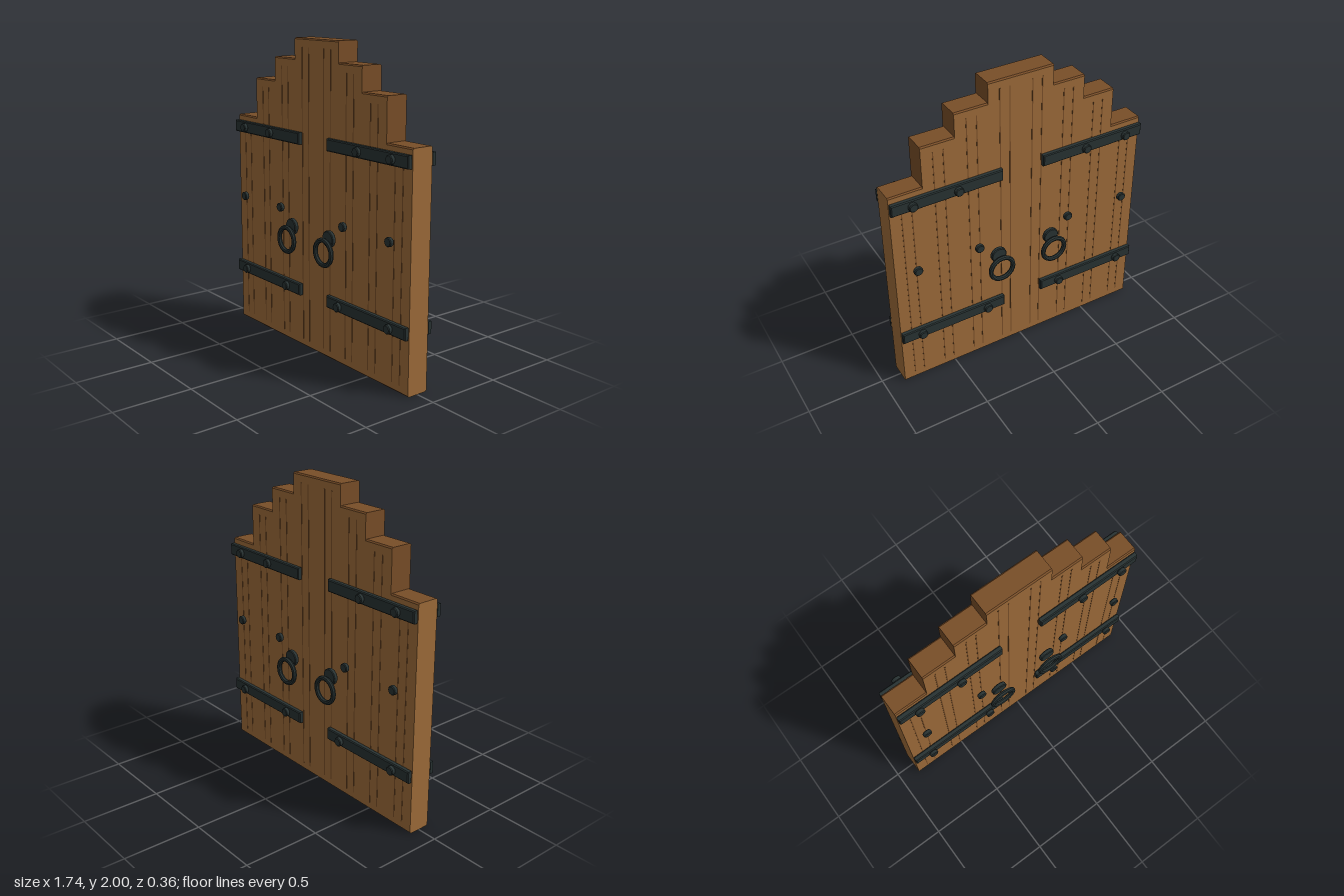
import * as THREE from 'three';

const wood = new THREE.MeshStandardMaterial({ color: 0x9d6b39 });
wood.name = 'wood';
const darkWood = new THREE.MeshStandardMaterial({ color: 0x794e28 });
darkWood.name = 'dark wood';
const iron = new THREE.MeshStandardMaterial({ color: 0x283232 });
iron.name = 'dark iron';

const PLANK_W = 0.217, HALF_D = 0.073;
const PLANK_HEIGHTS = [2, 1.872, 1.72, 1.455]; // from the middle outwards

function flat(geometry) {
  const g = geometry.index ? geometry.toNonIndexed() : geometry;
  g.computeVertexNormals();
  return g;
}

function add(parent, name, geometry, material, x = 0, y = 0, z = 0) {
  const mesh = new THREE.Mesh(geometry, material);
  mesh.name = name;
  mesh.position.set(x, y, z);
  parent.add(mesh);
  return mesh;
}

// Upright board with chamfered ends; groups: 0 sides, 1 ends and chamfers, 2 faces
function plankGeometry(height) {
  const box = new THREE.BoxGeometry(PLANK_W, height, HALF_D * 2, 1, 3, 1);
  const p = box.attributes.position;
  const chamfer = 0.008;
  for (let i = 0; i < p.count; i++) {
    const y = p.getY(i);
    if (Math.abs(y) > height / 2 - 0.001) p.setZ(i, p.getZ(i) * 0.88);
    else p.setY(i, Math.sign(y) * (height / 2 - chamfer));
  }
  const g = flat(box);
  g.clearGroups();
  g.addGroup(0, 36, 0);
  g.addGroup(36, 18, 1);
  g.addGroup(54, 6, 2);
  g.addGroup(60, 12, 1);
  g.addGroup(72, 6, 2);
  g.addGroup(78, 6, 1);
  return g;
}

// Flat bar with chamfered edges, lying from z = 0 to z = depth
function barGeometry(w, h, depth) {
  const b = 0.006, x = w / 2 - b, y = h / 2 - b;
  const shape = new THREE.Shape([
    new THREE.Vector2(-x, -y), new THREE.Vector2(x, -y),
    new THREE.Vector2(x, y), new THREE.Vector2(-x, y),
  ]);
  const g = new THREE.ExtrudeGeometry(shape, {
    depth: depth - 2 * b, bevelEnabled: true, bevelSize: b, bevelThickness: b, bevelSegments: 1,
  });
  return g.translate(0, 0, b);
}

// Round stud with chamfered rims, its axis along z
function studGeometry(r, depth, sides) {
  const c = 0.005;
  const profile = [[0, 0], [r - c, 0], [r, c], [r, depth - c], [r - c, depth], [0, depth]]
    .map(([a, b]) => new THREE.Vector2(a, b));
  return flat(new THREE.LatheGeometry(profile, sides).rotateX(Math.PI / 2));
}

// Straps, rivets and ring pulls for one face of the door
function buildIronwork(name) {
  const face = new THREE.Group();
  face.name = name;
  const strap = barGeometry(0.727, 0.077, 0.034);
  const rivet = studGeometry(0.029, 0.029, 12);
  const boss = studGeometry(0.053, 0.029, 14);
  const ring = flat(new THREE.TorusGeometry(0.079, 0.0155, 8, 20));
  const rivetRows = [
    { y: 1.38, xs: [0.443, 0.737] },
    { y: 0.91, xs: [0.321, 0.737] },
    { y: 0.39, xs: [0.27, 0.737] },
  ];
  for (const s of [-1, 1]) {
    for (const y of [0.39, 1.38]) add(face, 'hingeStrap', strap, iron, s * 0.5035, y, HALF_D);
    for (const row of rivetRows)
      for (const x of row.xs) add(face, 'rivet', rivet, iron, s * x, row.y, 0.106);
    add(face, 'ringBoss', boss, iron, s * 0.191, 0.808, 0.107);
    add(face, 'pullRing', ring, iron, s * 0.191, 0.728, 0.166);
  }
  return face;
}

export function createModel() {
  const model = new THREE.Group();
  model.name = 'plankDoor';

  // Stepped planks with two grooves on each face
  PLANK_HEIGHTS.forEach((height, i) => {
    const geometry = plankGeometry(height);
    const groove = new THREE.BoxGeometry(0.007, height - 0.102, HALF_D * 2 + 0.003);
    const side = i === PLANK_HEIGHTS.length - 1 ? wood : darkWood;
    for (const s of [-1, 1]) {
      const x = s * PLANK_W * (i + 0.5);
      add(model, 'plank', geometry, [side, darkWood, wood], x, height / 2);
      for (const o of [-0.033, 0.033]) add(model, 'groove', groove, darkWood, x + o, height / 2 - 0.003);
    }
  });

  // The same ironwork on both faces
  const back = buildIronwork('backIronwork');
  back.rotation.y = Math.PI;
  model.add(buildIronwork('frontIronwork'), back);
  return model;
}
